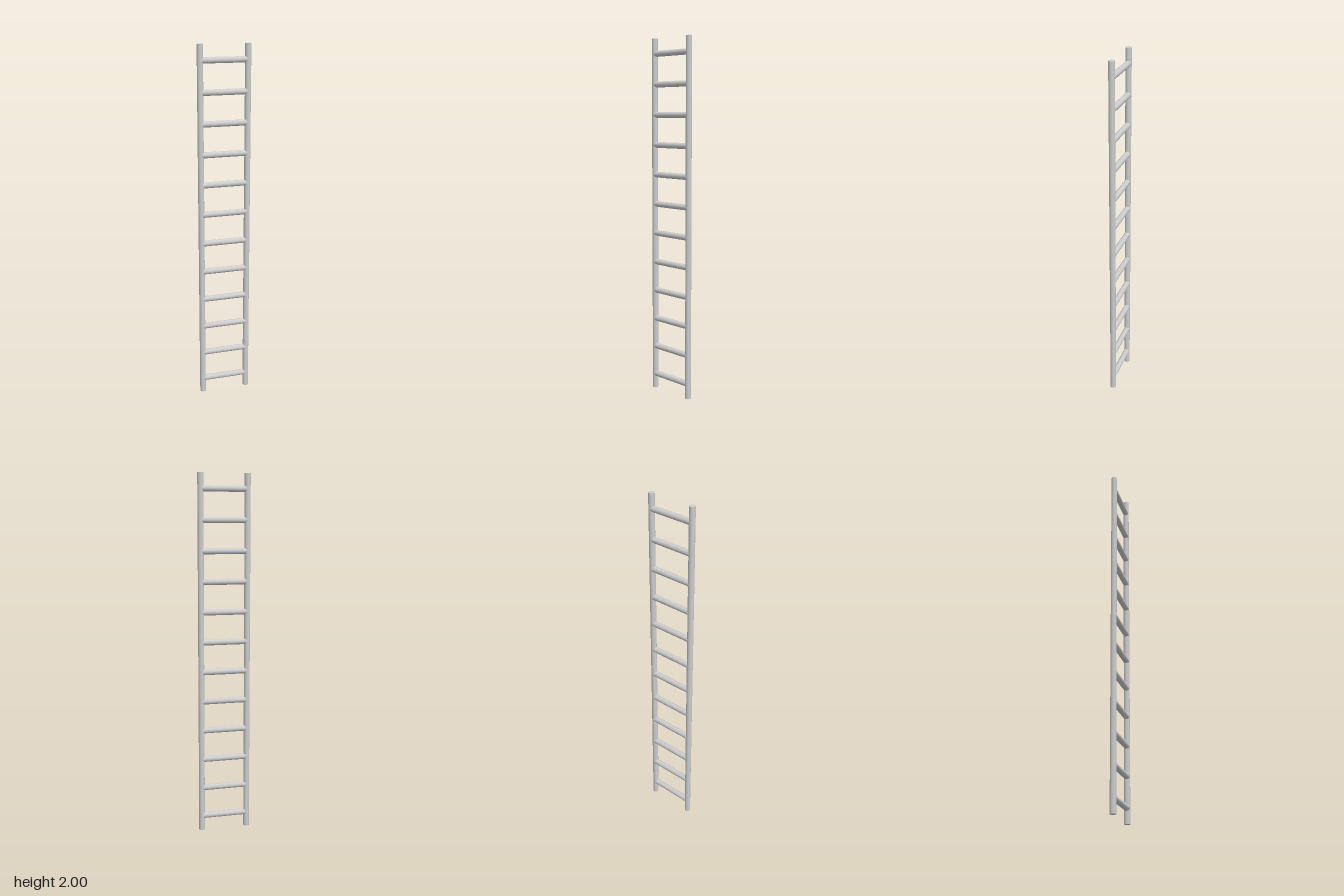
import * as THREE from 'three';

const HEIGHT = 2;
const RAIL_X = 0.1315;
const RADIUS = 0.0165;
const RUNGS = 12;

export function createModel() {
  const ladder = new THREE.Group();
  ladder.name = 'ladder';
  const material = new THREE.MeshStandardMaterial({ color: 0xcccccc });

  // Two round side rails
  const railGeometry = new THREE.CylinderGeometry(RADIUS, RADIUS, HEIGHT, 32);
  for (const [name, side] of [['leftRail', 1], ['rightRail', -1]]) {
    const rail = new THREE.Mesh(railGeometry, material);
    rail.name = name;
    rail.position.set(side * RAIL_X, HEIGHT / 2, 0);
    ladder.add(rail);
  }

  // Evenly spaced round rungs, ending inside the rails
  const rungGeometry = new THREE.CylinderGeometry(RADIUS, RADIUS, 2 * RAIL_X, 32);
  rungGeometry.rotateZ(Math.PI / 2);
  const spacing = HEIGHT / RUNGS;
  for (let i = 0; i < RUNGS; i++) {
    const rung = new THREE.Mesh(rungGeometry, material);
    rung.name = `rung${i + 1}`;
    rung.position.y = (i + 0.5) * spacing;
    ladder.add(rung);
  }

  return ladder;
}
